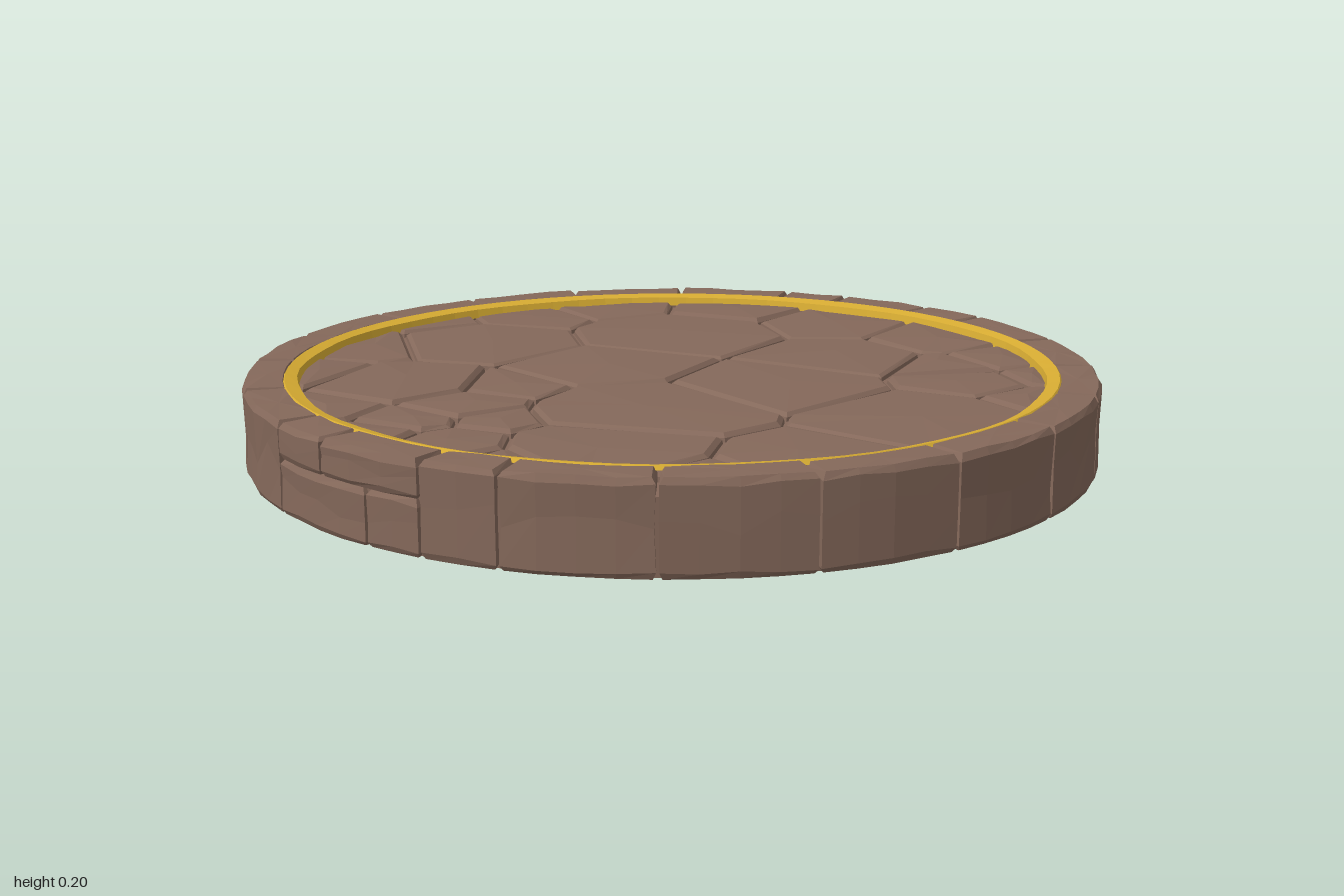
import * as THREE from 'three';

const stoneMat = new THREE.MeshStandardMaterial({ color: 0x84685a });
const goldMat = new THREE.MeshStandardMaterial({ color: 0xd6ab32, side: THREE.DoubleSide });
stoneMat.name = 'stone brown';
goldMat.name = 'inlay gold';

let seed = 7;
const rand = () => (seed = (seed * 16807) % 2147483647) / 2147483647;
const jitter = (a) => (rand() * 2 - 1) * a;
const polar = (deg, r) => {
  const t = THREE.MathUtils.degToRad(deg);
  return [Math.sin(t) * r, Math.cos(t) * r];
};

// Move the sides of a plan polygon [x, z] inwards
function inset(poly, d) {
  const n = poly.length;
  const normal = (a, b) => {
    const dx = b[0] - a[0], dz = b[1] - a[1], l = Math.hypot(dx, dz);
    return [dz / l, -dx / l];
  };
  return poly.map((p, i) => {
    const n1 = normal(poly[(i + n - 1) % n], p), n2 = normal(p, poly[(i + 1) % n]);
    const k = d / Math.max(0.4, 1 + n1[0] * n2[0] + n1[1] * n2[1]);
    return [p[0] + (n1[0] + n2[0]) * k, p[1] + (n1[1] + n2[1]) * k];
  });
}

// Faceted stone: plan polygon lofted through [inset, y, y jitter] layers, closed by a low peak
function stone(name, poly, layers, peak) {
  const n = poly.length;
  const rings = layers.map(([d, y, rough]) => inset(poly, d).map(([x, z]) => [x, y + jitter(rough), z]));
  const top = rings[rings.length - 1];
  const c = [0, 1, 2].map((k) => top.reduce((s, p) => s + p[k], 0) / n);
  c[1] += peak;
  const pos = [];
  for (let i = 0; i < n; i++) {
    const j = (i + 1) % n;
    for (let k = 0; k + 1 < rings.length; k++) {
      const lo = rings[k], hi = rings[k + 1];
      pos.push(...lo[i], ...lo[j], ...hi[j], ...lo[i], ...hi[j], ...hi[i]);
    }
    pos.push(...c, ...top[i], ...top[j]);
  }
  const geo = new THREE.BufferGeometry();
  geo.setAttribute('position', new THREE.Float32BufferAttribute(pos, 3));
  geo.computeVertexNormals();
  const mesh = new THREE.Mesh(geo, stoneMat);
  mesh.name = name;
  return mesh;
}

// Paving stones: x, z, approximate radius
const PAVERS = [
  [-.17, .03, .2], [-.27, -.38, .25], [.2, -.4, .19], [.27, -.03, .23], [.68, .02, .23],
  [-.6, 0, .22], [-.45, .47, .18], [-.22, .33, .1], [-.18, .52, .11], [.18, .3, .25],
  [.3, .6, .2], [.68, .42, .18], [-.02, -.72, .17], [-.35, -.73, .15],
  [.3, -.74, .16], [.54, -.65, .12], [.46, -.46, .1], [.61, -.34, .11], [.74, -.52, .1],
  [.8, -.3, .1], [-.64, -.55, .15], [-.72, -.3, .14], [-.85, -.1, .1], [-.8, .24, .15],
  [-.68, .52, .12], [-.43, .75, .13], [-.18, .7, .08], [-.16, .83, .08], [.03, .79, .1],
  [.22, .84, .1], [.62, .66, .12], [-.02, .58, .06],
];

// Weighted cell of one paving stone, clipped from the floor circle
function paverCell(a) {
  let poly = Array.from({ length: 40 }, (_, i) => polar(i * 9, 0.889));
  for (const b of PAVERS) {
    if (b === a) continue;
    const nx = 2 * (b[0] - a[0]), nz = 2 * (b[1] - a[1]);
    const w = (s) => s[0] ** 2 + s[1] ** 2 - s[2] ** 2;
    const side = (p) => nx * p[0] + nz * p[1] - w(b) + w(a);
    const out = [];
    poly.forEach((p, i) => {
      const q = poly[(i + 1) % poly.length], sp = side(p), sq = side(q);
      if (sp <= 0) out.push(p);
      if (sp * sq < 0) {
        const t = sp / (sp - sq);
        out.push([p[0] + (q[0] - p[0]) * t, p[1] + (q[1] - p[1]) * t]);
      }
    });
    poly = out;
  }
  // drop corners that sit too close together
  return poly.filter((p, i) => {
    const q = poly[(i + 1) % poly.length];
    return Math.hypot(p[0] - q[0], p[1] - q[1]) > 0.035;
  });
}

// One curved rim block between two angles and two heights
function rimBlock(a0, a1, y0, y1) {
  const steps = Math.max(2, Math.round((a1 - a0) / 5));
  const poly = [];
  const angle = (i) => a0 + 0.12 + (a1 - a0 - 0.24) * i / steps;
  for (let i = 0; i <= steps; i++) {
    const end = i === 0 || i === steps;
    poly.push(polar(angle(i), end ? 0.997 : 1 - rand() * 0.006));
  }
  for (let i = steps; i >= 0; i--) poly.push(polar(angle(i), 0.897));
  const h = y1 - y0;
  return stone('rimBlock', poly, [
    [0.007, y0, 0], [0.001, y0 + 0.012, 0.004], [rand() * 0.005, y0 + h / 2, h * 0.2],
    [0.001, y1 - 0.014, 0.004], [0.009, y1, 0.002]], 0.001);
}

export function createModel() {
  const model = new THREE.Group();
  model.name = 'roundStonePlatform';

  // Solid core behind the joints
  const core = new THREE.Mesh(new THREE.CylinderGeometry(0.982, 0.982, 0.16, 80), stoneMat);
  core.position.y = 0.081;
  core.name = 'jointCore';
  model.add(core);

  // Flat underside
  const underside = new THREE.Mesh(new THREE.CircleGeometry(0.992, 40), stoneMat);
  underside.rotation.x = Math.PI / 2;
  underside.name = 'underside';
  model.add(underside);

  // Paved floor
  const floor = new THREE.Group();
  floor.name = 'pavedFloor';
  for (const p of PAVERS) {
    const cell = paverCell(p);
    if (cell.length < 3) continue;
    floor.add(stone('pavingStone', cell,
      [[0.003, 0.155, 0], [0.006, 0.17, 0.001], [0.016, 0.178, 0.003]], 0.005));
  }
  model.add(floor);

  // Rim: eighteen-degree blocks, some split into two courses or narrower stones
  const rim = new THREE.Group();
  rim.name = 'rim';
  const split = [
    [-18, 0, 0, .12], [0, 8, 0, .12], [-18, -8, .12, .2], [-8, 8, .12, .2], [8, 18, 0, .2],
    [126, 144, 0, .11], [126, 144, .11, .2],
    [162, 173, 0, .2], [173, 188, 0, .2], [188, 198, 0, .2],
  ];
  for (const b of split) rim.add(rimBlock(...b));
  for (let a = 18; a < 342; a += 18) {
    if (a === 126 || a === 162 || a === 180) continue;
    rim.add(rimBlock(a, a + 18, 0, 0.2));
  }
  model.add(rim);

  // Gold band: nearly level top with a short drop to the floor and an uneven inner edge
  const profile = [[0.868, 0.172], [0.874, 0.194], [0.902, 0.201], [0.91, 0.192]]
    .map(([r, y]) => new THREE.Vector2(r, y));
  const lathe = new THREE.LatheGeometry(profile, 72);
  const pos = lathe.attributes.position;
  for (let i = 0; i < pos.count; i++) {
    if (i % profile.length > 1) continue;
    const t = Math.atan2(pos.getX(i), pos.getZ(i));
    const k = 1 + 0.003 * Math.sin(t * 13) + 0.003 * Math.sin(t * 5 + 1);
    pos.setX(i, pos.getX(i) * k);
    pos.setZ(i, pos.getZ(i) * k);
  }
  const band = lathe.toNonIndexed();
  band.computeVertexNormals();
  const gold = new THREE.Mesh(band, goldMat);
  gold.name = 'goldBand';
  model.add(gold);

  return model;
}
